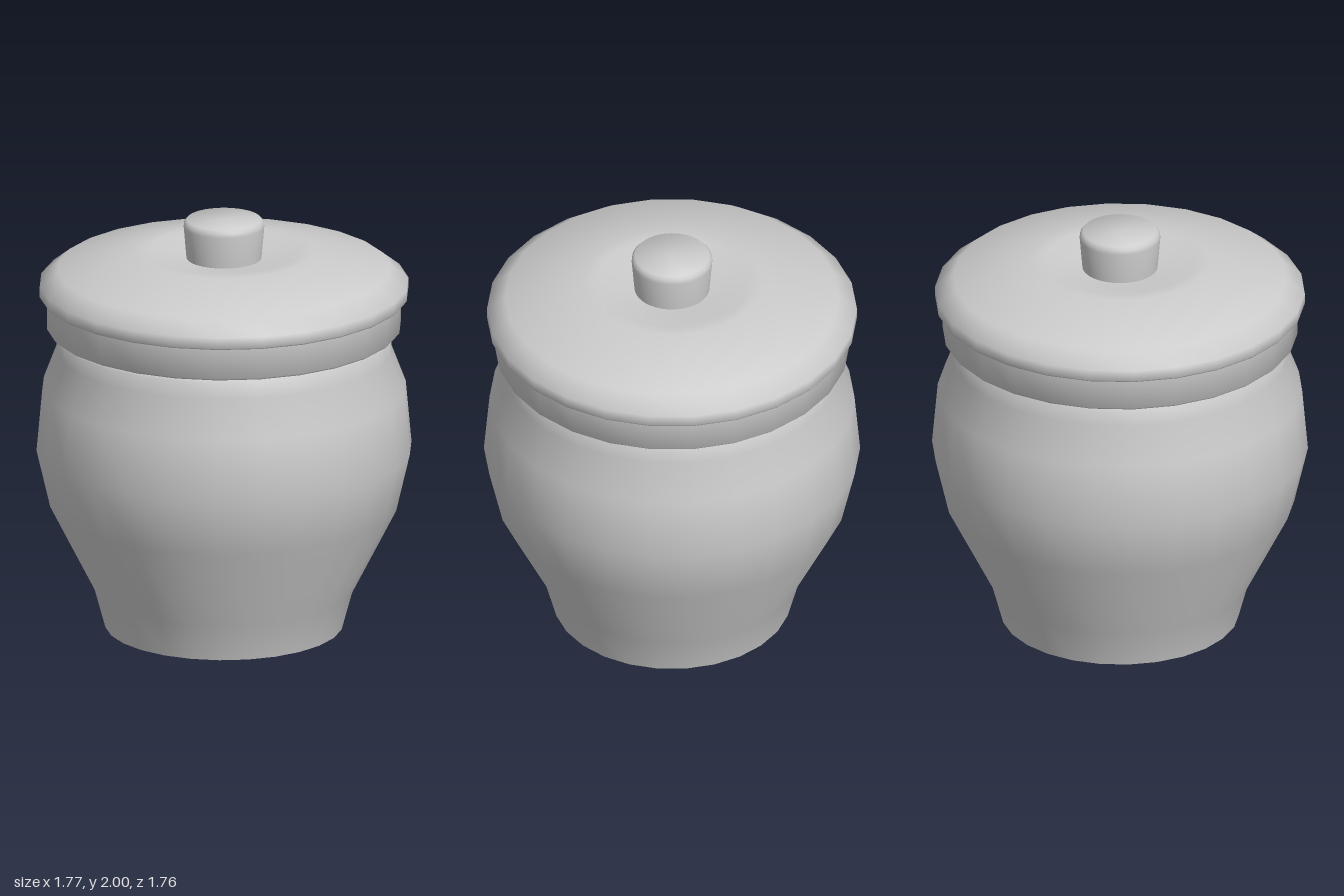
import * as THREE from 'three';
import { toCreasedNormals } from 'three/addons/utils/BufferGeometryUtils.js';

const SIDES = 26;
const material = new THREE.MeshStandardMaterial({ color: 0xcccccc });

// Turned part from [radius, height] points, listed bottom to top on the outside
function turned(name, points, sides = SIDES) {
  const profile = points.map(([r, y]) => new THREE.Vector2(r, y));
  const lathe = new THREE.LatheGeometry(profile, sides, Math.PI / 2, Math.PI * 2);
  const mesh = new THREE.Mesh(toCreasedNormals(lathe, 1.05), material);
  mesh.name = name;
  return mesh;
}

export function createModel() {
  const model = new THREE.Group();
  model.name = 'liddedJar';

  // Hollow jar: outer wall, rounded rim, then back down the inner wall
  const jar = turned('jarBody', [
    [0, 0], [0.56, 0], [0.61, 0.185], [0.82, 0.6], [0.885, 0.88], [0.858, 1.18],
    [0.79, 1.36], [0.79, 1.44], [0.77, 1.46],
    [0.72, 1.46], [0.71, 1.36], [0.78, 1.18], [0.8, 0.88], [0.74, 0.6], [0.53, 0.185],
    [0.5, 0.08], [0, 0.08],
  ]);

  // Lid group: lower band, overhanging cap with a shallow dish, and knob
  const lid = new THREE.Group();
  lid.name = 'lid';
  lid.add(
    turned('lidBand', [
      [0, 1.467], [0.825, 1.467], [0.835, 1.477], [0.835, 1.635],
    ]),
    turned('lidCap', [
      [0, 1.63], [0.865, 1.63], [0.87, 1.637], [0.87, 1.69], [0.785, 1.757],
      [0.42, 1.842], [0.36, 1.842], [0.22, 1.812], [0, 1.81],
    ]),
    turned('lidKnob', [
      [0, 1.8], [0.176, 1.8], [0.19, 1.965], [0.188, 1.985], [0.175, 2], [0, 2],
    ], 40),
  );

  model.add(jar, lid);
  return model;
}
